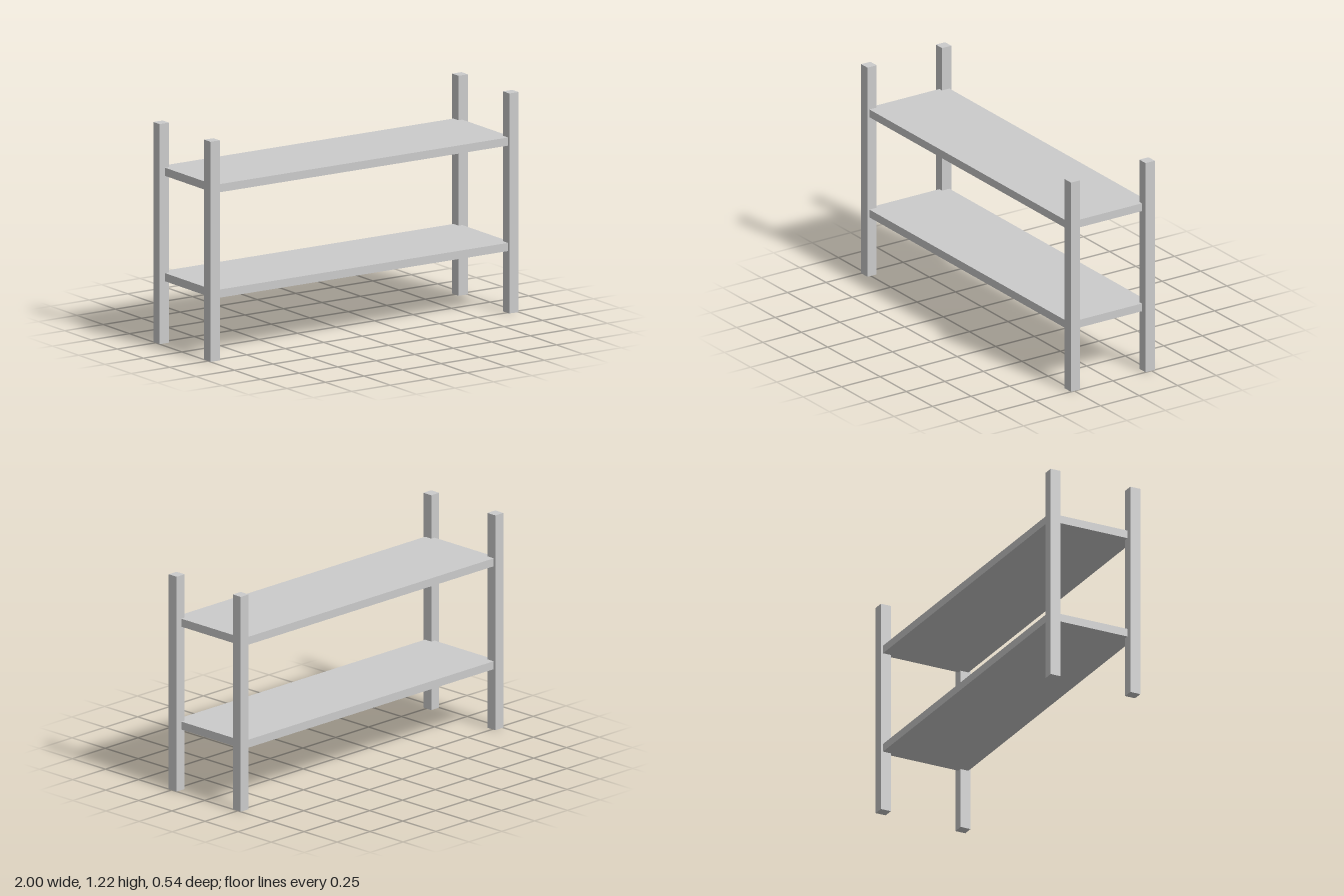
import * as THREE from 'three';

const POST = { size: 0.06, height: 1.215, x: 0.97, z: 0.242 };
const SHELF = { width: 1.93, thickness: 0.045, depth: 0.519 };
const SHELF_HEIGHTS = { lowerShelf: 0.365, upperShelf: 0.947 };

export function createModel() {
  const group = new THREE.Group();
  group.name = 'shelfRack';
  const material = new THREE.MeshStandardMaterial({ color: 0xcccccc, flatShading: true });

  const addBox = (name, [w, h, d], [x, y, z]) => {
    const mesh = new THREE.Mesh(new THREE.BoxGeometry(w, h, d), material);
    mesh.name = name;
    mesh.position.set(x, y, z);
    group.add(mesh);
  };

  // Four square corner posts
  for (const [side, sx] of [['Left', 1], ['Right', -1]]) {
    for (const [end, sz] of [['front', 1], ['back', -1]]) {
      addBox(`${end}${side}Post`, [POST.size, POST.height, POST.size],
        [sx * POST.x, POST.height / 2, sz * POST.z]);
    }
  }

  // Two flat shelves let into the posts
  for (const [name, y] of Object.entries(SHELF_HEIGHTS)) {
    addBox(name, [SHELF.width, SHELF.thickness, SHELF.depth], [0, y, 0]);
  }

  return group;
}
